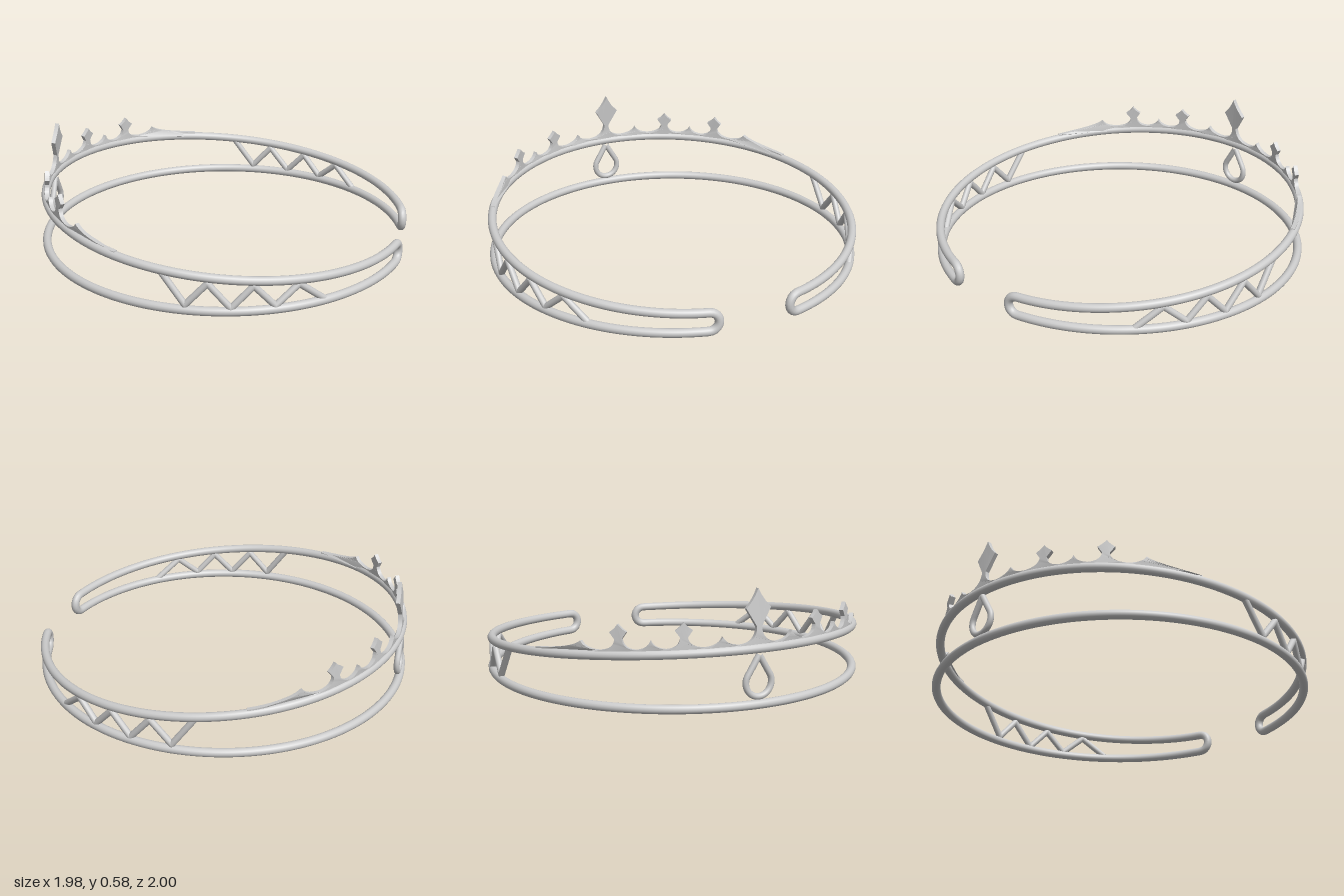
import * as THREE from 'three';
import { toCreasedNormals } from 'three/addons/utils/BufferGeometryUtils.js';

const CX = 0.01, R = 0.977, WIRE = 0.023;      // band centre, radius and wire thickness
const GAP = 0.252, BEND = 0.051;               // half angle of the opening, radius of the end bends
const PIVOT = CX + R * Math.cos(GAP), TOP = WIRE + 2 * BEND, TILT = 0.089;

const material = new THREE.MeshStandardMaterial({ color: 0xcccccc });
const plateMaterial = new THREE.MeshStandardMaterial({ color: 0xcccccc, side: THREE.DoubleSide });

function addMesh(parent, name, geometry, mat = material) {
  const mesh = new THREE.Mesh(geometry, mat);
  mesh.name = name;
  parent.add(mesh);
  return mesh;
}

// Point on the vertical wall of the band
const onWall = (angle, y, radius = R) =>
  new THREE.Vector3(CX + radius * Math.cos(angle), y, radius * Math.sin(angle));

// Point at height h over the upper rail, which is tilted about the opening
function onUpperRail(angle, h, radius = R) {
  const p = onWall(angle, 0, radius), d = PIVOT - p.x;
  const c = Math.cos(TILT), s = Math.sin(TILT);
  return p.set(PIVOT - d * c + h * s, TOP + d * s + h * c, p.z);
}

// One continuous wire: lower rail, end bend, upper rail, end bend
function bandGeometry() {
  const points = [], n = 120, bendSteps = 10;
  const angleAt = i => GAP + (2 * Math.PI - 2 * GAP) * i / n;
  const bend = (side, t) =>
    onWall(side * (GAP - BEND * Math.sin(t) / R), WIRE + BEND - BEND * Math.cos(t));
  for (let i = 0; i <= n; i++) points.push(onWall(angleAt(i), WIRE));
  for (let i = 1; i < bendSteps; i++) points.push(bend(-1, Math.PI * i / bendSteps));
  for (let i = n; i >= 0; i--) points.push(onUpperRail(angleAt(i), 0));
  for (let i = bendSteps - 1; i > 0; i--) points.push(bend(1, Math.PI * i / bendSteps));
  const curve = new THREE.CatmullRomCurve3(points, true);
  curve.arcLengthDivisions = 2500;
  return new THREE.TubeGeometry(curve, 800, WIRE, 14, true);
}

// Zigzag struts between the rails
function addZigzag(parent, side) {
  const group = new THREE.Group();
  group.name = side > 0 ? 'frontZigzag' : 'backZigzag';
  const corners = [[-0.12, 0.215], [0, 0.05], [0.11, 0.17], [0.22, 0.04],
    [0.325, 0.155], [0.425, 0.04], [0.53, 0.14], [0.64, 0.035]]
    .map(([x, y]) => new THREE.Vector3(x, y, side * Math.sqrt(R * R - (x - CX) ** 2)));
  const up = new THREE.Vector3(0, 1, 0);
  corners.forEach((p, i) => {
    addMesh(group, 'strutJoint', new THREE.SphereGeometry(0.017, 12, 8)).position.copy(p);
    if (i === 0) return;
    const dir = p.clone().sub(corners[i - 1]);
    const strut = addMesh(group, 'strut', new THREE.CylinderGeometry(0.017, 0.017, dir.length(), 12));
    strut.position.copy(p).add(corners[i - 1]).multiplyScalar(0.5);
    strut.quaternion.setFromUnitVectors(up, dir.normalize());
  });
  parent.add(group);
}

// Teardrop loop hanging below the central finial
function teardropGeometry() {
  const radius = 0.07, cy = 0.13, tip = 0.265, steps = 24;
  const start = Math.acos(radius / (tip - cy));           // tangent point from the tip
  const path = new THREE.CurvePath();
  const at = (s, y) => onWall(Math.PI - s / R, y, R - 0.006);
  const arc = [];
  for (let i = 0; i <= steps; i++) {
    const t = start + (2 * Math.PI - 2 * start) * i / steps;
    arc.push(at(radius * Math.sin(t), cy + radius * Math.cos(t)));
  }
  path.add(new THREE.LineCurve3(at(0, tip), arc[0]));
  path.add(new THREE.CatmullRomCurve3(arc));
  path.add(new THREE.LineCurve3(arc[steps], at(0, tip)));
  return new THREE.TubeGeometry(path, 90, 0.016, 12, false);
}

// Flat finial with concave flanks, bent round the rail
// left, right: base half widths; head: {waist, neck, wide, mid} of the diamond, if any
function finialGeometry(alpha, left, right, tip, head) {
  const base = 0.026, depth = 0.022, shape = new THREE.Shape();
  shape.moveTo(-left, 0);
  for (let i = 1; i <= 6; i++) shape.lineTo(-left + (left + right) * i / 6, 0);
  shape.lineTo(right, base);
  if (head) {
    const { waist, neck, wide, mid } = head;
    shape.quadraticCurveTo(waist * 1.3, base + 0.003, waist, neck);
    shape.lineTo(wide, mid);
    shape.quadraticCurveTo(wide * 0.36, mid + (tip - mid) * 0.42, 0, tip);
    shape.quadraticCurveTo(-wide * 0.36, mid + (tip - mid) * 0.42, -wide, mid);
    shape.lineTo(-waist, neck);
    shape.quadraticCurveTo(-waist * 1.3, base + 0.003, -left, base);
  } else {
    shape.quadraticCurveTo(right * 0.2, base + 0.004, 0, tip);
    shape.quadraticCurveTo(-left * 0.2, base + 0.004, -left, base);
  }
  shape.closePath();
  const geo = new THREE.ExtrudeGeometry(shape, { depth, bevelEnabled: false, curveSegments: 10 });
  const pos = geo.attributes.position;
  for (let i = 0; i < pos.count; i++) {
    const p = onUpperRail(Math.PI - alpha - pos.getX(i) / R, pos.getY(i), R + pos.getZ(i) - depth / 2);
    pos.setXYZ(i, p.x, p.y, p.z);
  }
  return toCreasedNormals(geo, 0.5);
}

export function createModel() {
  const model = new THREE.Group();
  model.name = 'tiara';
  addMesh(model, 'band', bandGeometry());
  addMesh(model, 'teardrop', teardropGeometry());
  for (const side of [1, -1]) addZigzag(model, side);

  // Finials: one tall in the middle, the rest mirrored to both sides
  const tall = { waist: 0.013, neck: 0.105, wide: 0.066, mid: 0.195 };
  const cross = { waist: 0.018, neck: 0.078, wide: 0.042, mid: 0.112 };
  addMesh(model, 'centralFinial', finialGeometry(0, 0.1, 0.1, 0.288, tall), plateMaterial);
  const sideFinials = [
    ['smallSpike', 0.19, 0.087, 0.085, 0.07],
    ['crossFinial', 0.377, 0.1, 0.085, 0.15, cross],
    ['smallSpike', 0.537, 0.074, 0.07, 0.07],
    ['crossFinial', 0.694, 0.086, 0.1, 0.15, cross],
    ['endSpike', 0.891, 0.093, 0.28, 0.07],
  ];
  for (const [name, alpha, inner, outer, tip, head] of sideFinials) {
    addMesh(model, name, finialGeometry(alpha, inner, outer, tip, head), plateMaterial);
    addMesh(model, name, finialGeometry(-alpha, outer, inner, tip, head), plateMaterial);
  }
  return model;
}
